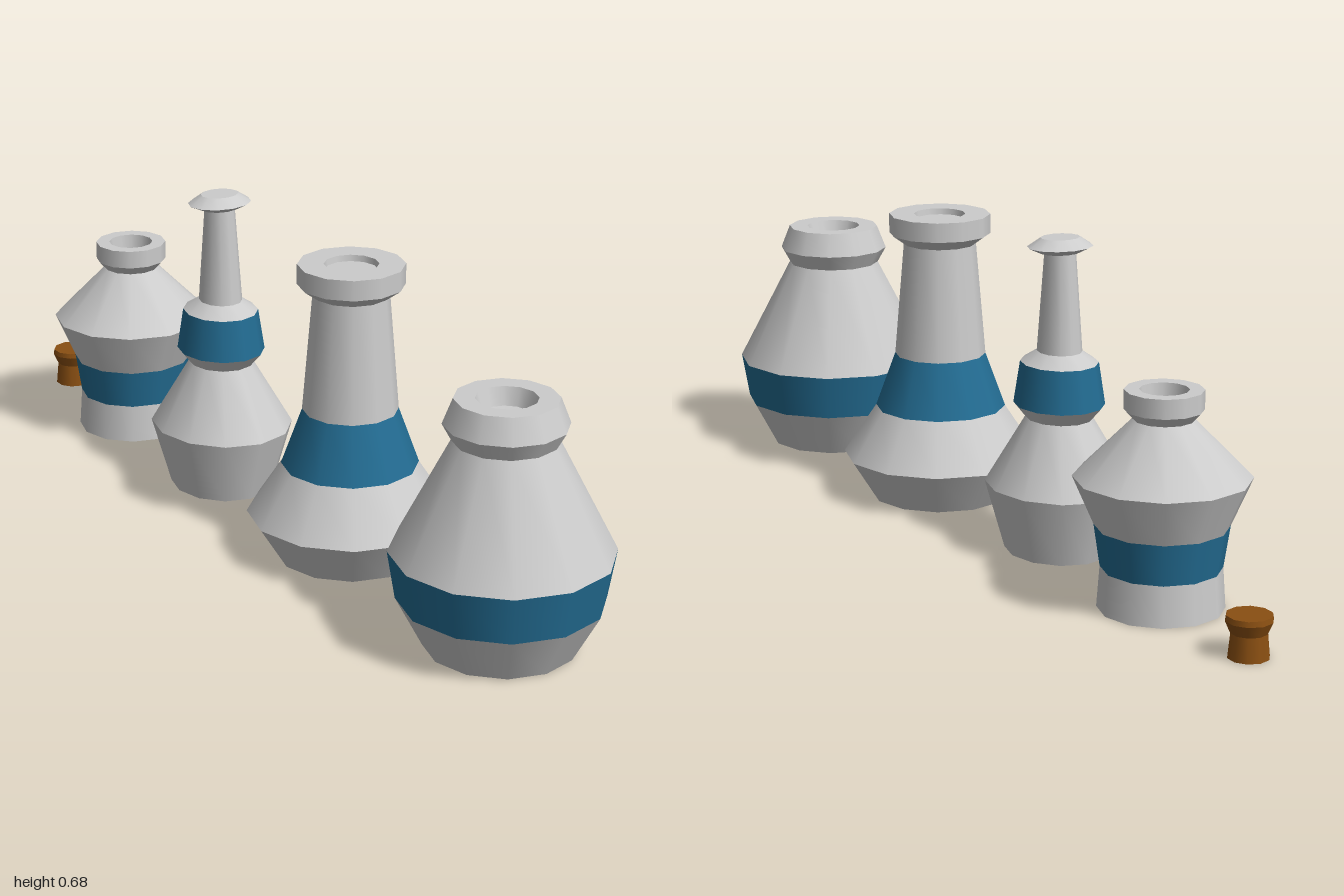
import * as THREE from 'three';
import { mergeGeometries } from 'three/addons/utils/BufferGeometryUtils.js';

const grey = new THREE.MeshStandardMaterial({ color: 0xcccccc });
const blue = new THREE.MeshStandardMaterial({ color: 0x236c92 });
const brown = new THREE.MeshStandardMaterial({ color: 0x8a4f12 });

// Turned part: smooth around the axis, with a sharp edge at every profile point [radius, y]
function turned(name, profile, material, sides = 12) {
  const rings = [];
  for (let i = 0; i < profile.length - 1; i++) {
    const pair = [profile[i], profile[i + 1]].map(([r, y]) => new THREE.Vector2(r, y));
    rings.push(new THREE.LatheGeometry(pair, sides));
  }
  const mesh = new THREE.Mesh(mergeGeometries(rings), material);
  mesh.name = name;
  return mesh;
}

function place(name, x, z, parts) {
  const group = new THREE.Group();
  group.name = name;
  group.position.set(x, 0, z);
  group.add(...parts);
  return group;
}

export function createModel() {
  const model = new THREE.Group();
  model.name = 'potionBottles';

  // Wide conical bottle with a low band
  model.add(place('conicalBottle', 0.004, 0.774, [
    turned('base', [[0, 0], [0.154, 0], [0.209, 0.102]], grey),
    turned('band', [[0.209, 0.102], [0.226, 0.202]], blue),
    turned('shoulder', [[0.226, 0.202], [0.105, 0.434]], grey),
    turned('rim', [[0.105, 0.434], [0.1245, 0.469], [0.104, 0.521], [0.062, 0.521], [0.05, 0.485], [0, 0.48]], grey),
  ]));

  // Tall bottle with a long neck and flat lip
  model.add(place('longNeckBottle', -0.0125, 0.25, [
    turned('base', [[0, 0], [0.156, 0], [0.2175, 0.096], [0.145, 0.205]], grey),
    turned('band', [[0.145, 0.205], [0.101, 0.326]], blue),
    turned('neck', [[0.101, 0.326], [0.08, 0.577]], grey),
    turned('rim', [[0.08, 0.577], [0.112, 0.6], [0.112, 0.643], [0.057, 0.643], [0.055, 0.63], [0, 0.63]], grey),
  ]));

  // Slim two-bulb bottle, slightly flattened, with a wide oval stopper
  const slim = place('slimBottle', -0.051, -0.22, [
    turned('lowerBulb', [[0, 0], [0.125, 0], [0.171, 0.147], [0.078, 0.29], [0.105, 0.32]], grey),
    turned('band', [[0.105, 0.32], [0.09, 0.41]], blue),
    turned('neck', [[0.09, 0.41], [0.052, 0.433], [0.036, 0.643]], grey),
    turned('stopper', [[0.036, 0.643], [0.059, 0.656], [0.035, 0.675], [0, 0.675]], grey),
  ]);
  slim.children.forEach((part) => { part.scale.x = part.name === 'stopper' ? 1.22 : 0.89; });
  model.add(slim);

  // Squat open bottle with a waist band
  model.add(place('squatBottle', -0.05, -0.636, [
    turned('base', [[0, 0], [0.129, 0], [0.123, 0.085]], grey),
    turned('band', [[0.123, 0.085], [0.136, 0.172]], blue),
    turned('shoulder', [[0.136, 0.172], [0.18, 0.272], [0.062, 0.39]], grey),
    turned('rim', [[0.062, 0.39], [0.08, 0.41], [0.08, 0.45], [0.05, 0.45], [0.045, 0.405], [0, 0.405]], grey),
  ]));

  // Loose cork
  model.add(place('cork', -0.05, -0.952, [
    turned('corkBody', [[0, 0], [0.042, 0], [0.037, 0.05], [0.048, 0.075], [0.046, 0.086], [0, 0.086]], brown, 10),
  ]));

  return model;
}
